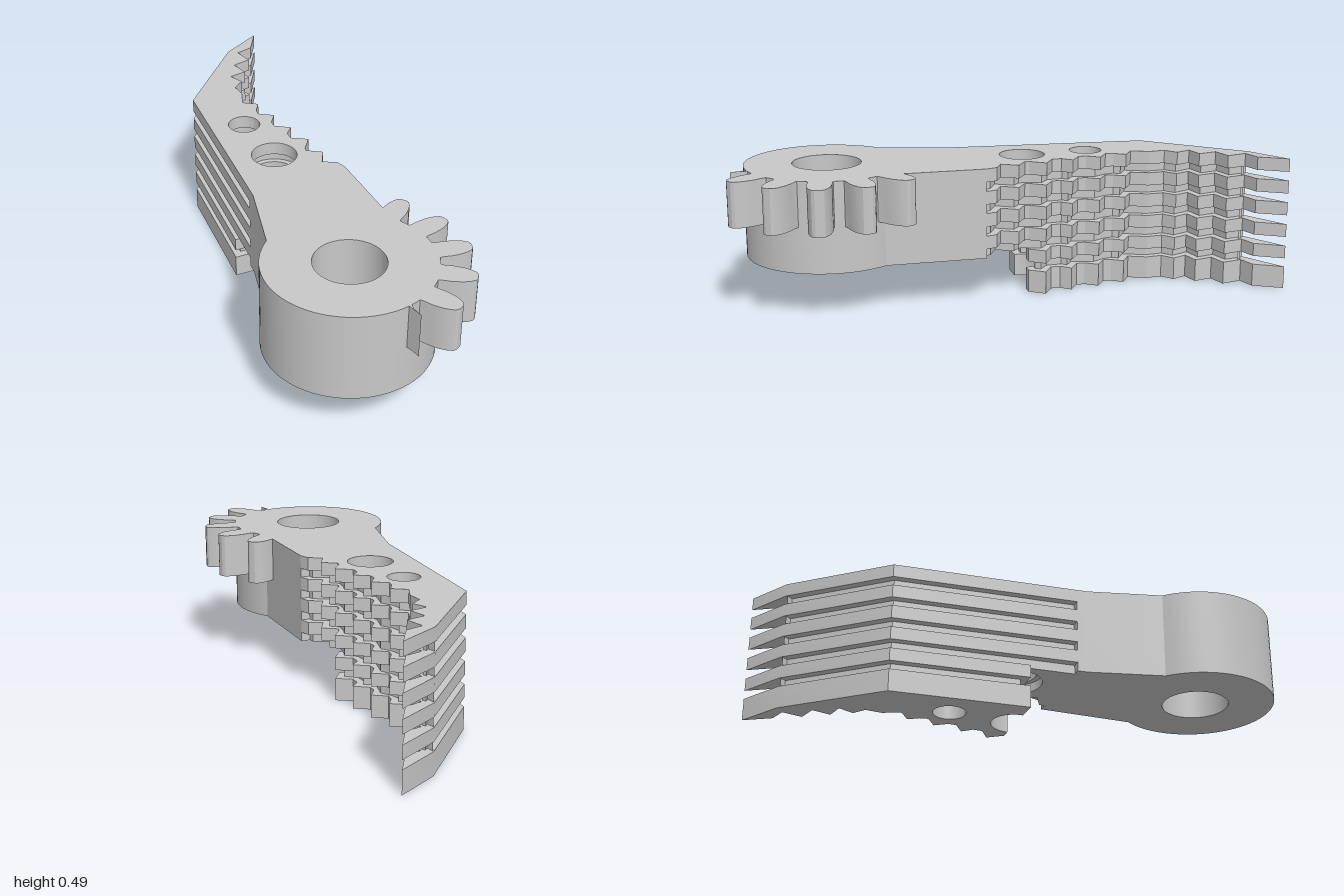
import * as THREE from 'three';
import { toCreasedNormals } from 'three/addons/utils/BufferGeometryUtils.js';

const INSET = 0.028;                    // depth of the grooves between the bars
const CUT = -0.075;                     // where the lower bars stop, through the larger hole
const HUB = { x: -0.058, z: 0.63, r: 0.295 };
const BIG_HOLE = { x: -0.013, z: -0.08, r: 0.083 };
const SMALL_HOLE = { x: -0.028, z: -0.327, r: 0.059 };

// Points are [x, z], running up the toothed edge, round the tip and back down
const TEETH = [
  [0.147, -0.13], [0.092, -0.165], [0.092, -0.2], [0.123, -0.235], [0.072, -0.27],
  [0.072, -0.3], [0.103, -0.345], [0.052, -0.38], [0.057, -0.41], [0.082, -0.45], [0.03, -0.485],
  [0.057, -0.55], [0.052, -0.61], [0.095, -0.645], [0.07, -0.7], [0.137, -0.715],
  [0.12, -0.785], [0.192, -0.805], [0.175, -0.88],
];
const ROOT_TEETH = [[0.173, 0.06], [0.125, 0.035], [0.157, -0.025], [0.105, -0.06]];
const TIP = [[0.24, -0.9], [0.298, -1]];
const BACK = [[0.143, -0.905], [-0.137, -0.58]];
const RIGHT_CUT = [0.108, CUT], LEFT_CUT = [-0.174, CUT];

const arc = (c, r, from, to, n) => Array.from({ length: n + 1 }, (_, i) => {
  const a = from + (to - from) * i / n;
  return [c.x + r * Math.cos(a), c.z + r * Math.sin(a)];
});

// Shrink an outline, keeping it clear of the bolt holes
function inset(pts) {
  const normal = (a, b) => {
    const dx = b[0] - a[0], dz = b[1] - a[1], l = Math.hypot(dx, dz);
    return [dz / l, -dx / l];
  };
  return pts.map((p, i) => {
    const n1 = normal(pts.at(i - 1), p), n2 = normal(p, pts[(i + 1) % pts.length]);
    const k = INSET / (1 + n1[0] * n2[0] + n1[1] * n2[1]);
    let q = [p[0] + (n1[0] + n2[0]) * k, p[1] + (n1[1] + n2[1]) * k];
    for (const h of [BIG_HOLE, SMALL_HOLE]) {
      const d = Math.hypot(q[0] - h.x, q[1] - h.z), min = h.r + 0.027;
      if (d < min) q = [h.x + (q[0] - h.x) * min / d, h.z + (q[1] - h.z) * min / d];
    }
    return q;
  });
}

// Groove core: the inset outline with a blunt, shorter tip
function coreOutline(start, end) {
  const pts = inset([...start, ...TEETH, ...TIP, ...BACK, ...end]);
  pts.splice(start.length + TEETH.length, 2, [0.167, -0.87]);
  return pts;
}

// Halves of a round hole cut across at z: the tip side and the root side
const tipNotch = (h, z) => {
  const a = Math.asin((z - h.z) / h.r);
  return arc(h, h.r, Math.PI - a, Math.PI * 2 + a, 24);
};
const rootNotch = (h, z) => {
  const a = Math.asin((z - h.z) / h.r);
  return arc(h, h.r, a, Math.PI - a, 24);
};

// Upright slab from an outline, with an optional round hole
function slab(pts, y0, y1, hole) {
  const v = (list) => list.map(([x, z]) => new THREE.Vector2(x, -z));
  const shape = new THREE.Shape(v(pts));
  if (hole) shape.holes.push(new THREE.Path(v(arc(hole, hole.r, 0, -Math.PI * 2, 48).slice(0, -1))));
  const geo = new THREE.ExtrudeGeometry(shape, { depth: y1 - y0, bevelEnabled: false });
  geo.rotateX(-Math.PI / 2);
  geo.translate(0, y0, 0);
  return toCreasedNormals(geo, 0.35);
}

export function createModel() {
  const model = new THREE.Group();
  const grey = new THREE.MeshStandardMaterial({ color: 0xc8c8c8 });
  grey.name = 'grey';
  const add = (name, geo, parent = model) => {
    const mesh = new THREE.Mesh(geo, grey);
    mesh.name = name;
    parent.add(mesh);
  };
  const group = (name) => {
    const g = new THREE.Group();
    g.name = name;
    model.add(g);
    return g;
  };

  // Pivot hub with the solid root of the finger, counter-clockwise from above
  const hubArc = arc(HUB, HUB.r, Math.PI + Math.atan2(0.22, 0.202), Math.atan2(-0.167, 0.243), 56);
  add('hub', slab([[-0.187, 0.1], [-0.19, 0.14], ...hubArc, [0.185, 0.1]], 0.163, 0.49, { ...HUB, r: 0.124 }));

  // Gripping bars: six long tips, the upper four joined to the hub by a root
  const bars = group('grippingBars');
  const tipBar = [RIGHT_CUT, ...TEETH, ...TIP, ...BACK, LEFT_CUT, ...tipNotch(BIG_HOLE, CUT)];
  const rootBar = [[0.185, 0.1], ...ROOT_TEETH, RIGHT_CUT, ...rootNotch(BIG_HOLE, CUT), LEFT_CUT, [-0.187, 0.1]];
  const levels = [[0, 0.083], [0.115, 0.163], [0.197, 0.245], [0.279, 0.328], [0.361, 0.409], [0.442, 0.49]];
  levels.forEach(([y0, y1], i) => {
    add('barTip', slab(tipBar, y0, y1, SMALL_HOLE), bars);
    if (i > 1) add('barRoot', slab(rootBar, y0, y1), bars);
  });

  // Recessed cores in the grooves, with wider holes
  const cores = group('grooveCores');
  const bigWide = { ...BIG_HOLE, r: BIG_HOLE.r + 0.02 };
  const smallWide = { ...SMALL_HOLE, r: SMALL_HOLE.r + 0.02 };
  const start = [[0.185, 0.1 + INSET], ...ROOT_TEETH, RIGHT_CUT];
  const upper = coreOutline(start, [LEFT_CUT, [-0.187, 0.1 + INSET]]);
  const rootCore = [...upper.slice(0, start.length), ...rootNotch(bigWide, CUT), ...upper.slice(-2)];
  const tipCore = [...upper.slice(start.length - 1, -1), ...tipNotch(bigWide, CUT)];
  const lowerCore = [...coreOutline([RIGHT_CUT], [LEFT_CUT]), ...tipNotch(bigWide, CUT - INSET)];
  add('lowerCore', slab(lowerCore, 0.083, 0.115, smallWide), cores);
  for (let i = 1; i < 5; i++) {
    const y0 = levels[i][1], y1 = levels[i + 1][0];
    add('coreTip', slab(tipCore, y0, y1, smallWide), cores);
    add('coreRoot', slab(rootCore, y0, y1), cores);
  }

  // Gear teeth round the hub, upper half only
  const gear = group('gearTeeth');
  const side = [[0.275, 0.047], [0.3, 0.042], [0.335, 0.043], [0.37, 0.039], [0.395, 0.031], [0.41, 0.022], [0.416, 0.011]];
  const profile = [...side, ...side.map(([r, w]) => [r, -w]).reverse()];
  for (let i = 0; i < 5; i++) {
    const a = (-37 + 24.2 * i) * Math.PI / 180, c = Math.cos(a), s = Math.sin(a);
    const pts = profile.map(([r, w]) => [HUB.x + r * c - w * s, HUB.z + r * s + w * c]);
    add('gearTooth', slab(pts, 0.328, 0.49), gear);
  }
  add('partialTooth', slab([[0.003, 0.91], [0.017, 0.975], [0.012, 0.935], [0.02, 0.9]], 0.328, 0.49), gear);

  return model;
}
